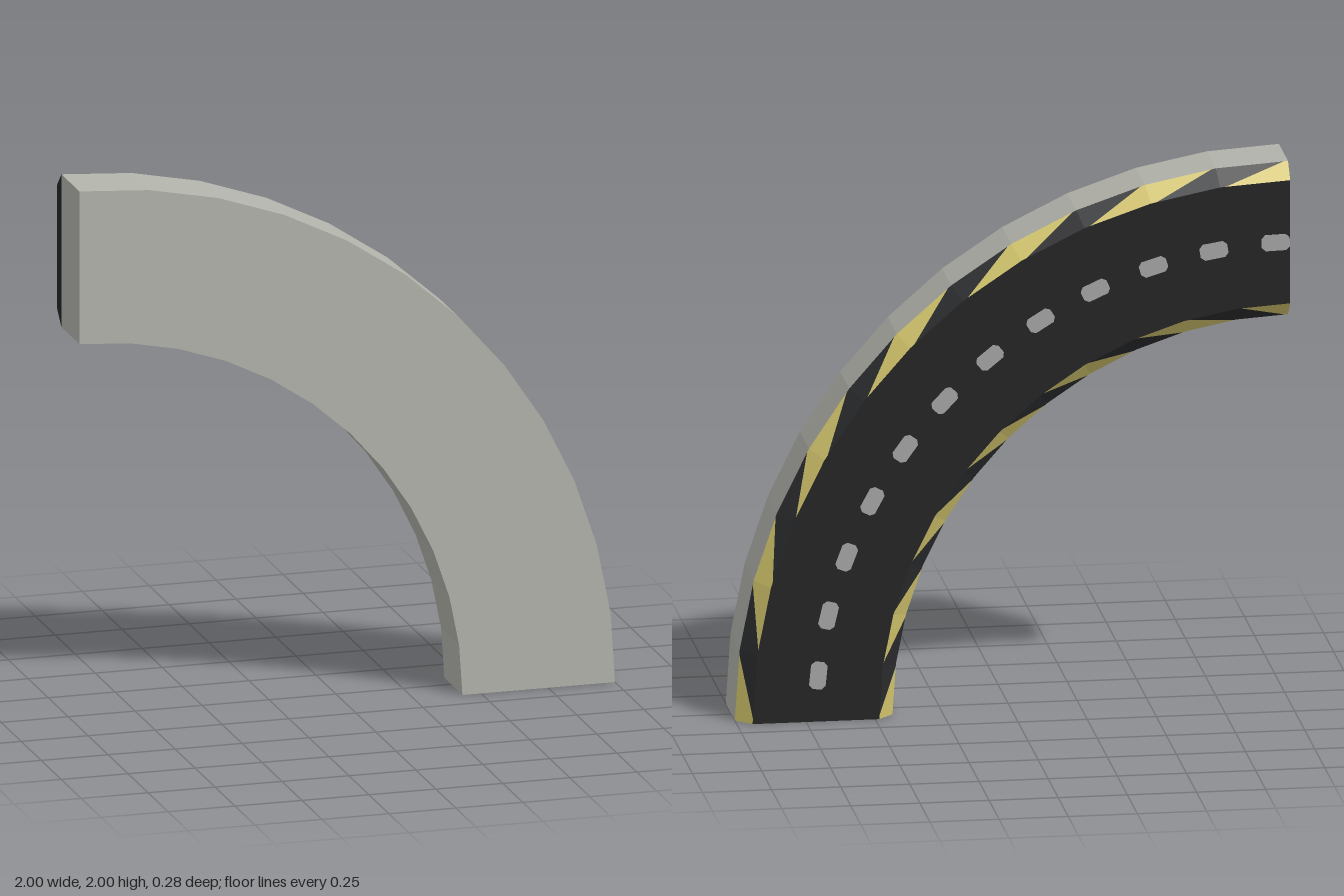
import * as THREE from 'three';

const SEGMENTS = 12;
const STEP = Math.PI / 2 / SEGMENTS;
const OUTER = 2, INNER = 1.43, BEVEL = 0.056;
const FRONT_Z = 0.141, RIM_Z = -0.085, ROAD_Z = -0.141;
const ROAD_OUT = OUTER - BEVEL, ROAD_IN = INNER + BEVEL;

const material = (name, color, opts = {}) => {
  const m = new THREE.MeshStandardMaterial({ color, ...opts });
  m.name = name;
  return m;
};

// Point on the faceted arc; s counts segments from the upright end
function arcPoint(s, radius, z) {
  const k = Math.min(Math.floor(s), SEGMENTS - 1);
  const at = (i) => new THREE.Vector3(-1 + radius * Math.sin(i * STEP), radius * Math.cos(i * STEP), z);
  return at(k).lerp(at(k + 1), s - k);
}

// Mesh made of separate flat four-sided faces
function quadMesh(name, quads, mat) {
  const positions = [];
  for (const [a, b, c, d] of quads) {
    for (const p of [a, b, c, a, c, d]) positions.push(p.x, p.y, p.z);
  }
  const geometry = new THREE.BufferGeometry();
  geometry.setAttribute('position', new THREE.Float32BufferAttribute(positions, 3));
  geometry.computeVertexNormals();
  const mesh = new THREE.Mesh(geometry, mat);
  mesh.name = name;
  return mesh;
}

export function createModel() {
  const group = new THREE.Group();
  group.name = 'curvedRoadPiece';
  const concrete = material('concrete grey', 0xb2b3ab);
  const asphalt = material('asphalt black', 0x242424);
  const yellow = material('hazard yellow', 0xd2c46c);
  const black = material('hazard black', 0x2a2b2d);
  const paint = material('dash grey', 0xa6a6a6);

  // Concrete slab: quarter ring with flat facets
  const outline = [];
  for (let i = 0; i <= SEGMENTS; i++) outline.push(arcPoint(i, OUTER, 0));
  for (let i = SEGMENTS; i >= 0; i--) outline.push(arcPoint(i, INNER, 0));
  const slabShape = new THREE.Shape(outline.map((p) => new THREE.Vector2(p.x, p.y)));
  const slabGeometry = new THREE.ExtrudeGeometry(slabShape, { depth: FRONT_Z - RIM_Z, bevelEnabled: false });
  slabGeometry.translate(0, 0, RIM_Z);
  const slab = new THREE.Mesh(slabGeometry, concrete);
  slab.name = 'concreteSlab';
  group.add(slab);

  // Road surface and the black ends of the raised layer
  const roadQuads = [];
  for (let i = 0; i < SEGMENTS; i++) {
    roadQuads.push([
      arcPoint(i, ROAD_IN, ROAD_Z), arcPoint(i, ROAD_OUT, ROAD_Z),
      arcPoint(i + 1, ROAD_OUT, ROAD_Z), arcPoint(i + 1, ROAD_IN, ROAD_Z),
    ]);
  }
  const endCap = (s) => [
    arcPoint(s, OUTER, RIM_Z), arcPoint(s, ROAD_OUT, ROAD_Z),
    arcPoint(s, ROAD_IN, ROAD_Z), arcPoint(s, INNER, RIM_Z),
  ];
  group.add(quadMesh('roadSurface', roadQuads, asphalt));
  group.add(quadMesh('roadEnds', [endCap(0), endCap(SEGMENTS).reverse()], asphalt));

  // Bevelled kerbs: one slanted colour change inside every segment
  const RIM_CUT = 0.06, ROAD_CUT = 0.92;
  const addKerb = (name, isOuter) => {
    const low = isOuter ? [ROAD_OUT, ROAD_Z, ROAD_CUT] : [INNER, RIM_Z, RIM_CUT];
    const high = isOuter ? [OUTER, RIM_Z, RIM_CUT] : [ROAD_IN, ROAD_Z, ROAD_CUT];
    const stripes = [[], []];
    for (let i = 0; i < SEGMENTS; i++) {
      const end = i + 1 - 1e-6;
      const lowAt = (s) => arcPoint(s, low[0], low[1]);
      const highAt = (s) => arcPoint(s, high[0], high[1]);
      const lowCut = i + low[2], highCut = i + high[2];
      stripes[i % 2].push([lowAt(i), highAt(i), highAt(highCut), lowAt(lowCut)]);
      stripes[(i + 1) % 2].push([lowAt(lowCut), highAt(highCut), highAt(end), lowAt(end)]);
    }
    group.add(quadMesh(name + 'YellowStripes', stripes[0], yellow));
    group.add(quadMesh(name + 'BlackStripes', stripes[1], black));
  };
  addKerb('outerKerb', true);
  addKerb('innerKerb', false);

  // Centre line dashes with clipped corners
  const L = 0.051, W = 0.03, C = 0.014;
  const dashShape = new THREE.Shape([
    [L, W - C], [L - C, W], [C - L, W], [-L, W - C],
    [-L, C - W], [C - L, -W], [L - C, -W], [L, C - W],
  ].map(([x, y]) => new THREE.Vector2(x, y)));
  const dashGeometry = new THREE.ExtrudeGeometry(dashShape, { depth: 0.003, bevelEnabled: false });
  const middle = (ROAD_OUT + ROAD_IN) / 2;
  for (let i = 0; i < SEGMENTS; i++) {
    const angle = (i + 0.235) * STEP;
    const dash = new THREE.Mesh(dashGeometry, paint);
    dash.name = 'centreDash';
    dash.position.set(-1 + middle * Math.sin(angle), middle * Math.cos(angle), ROAD_Z - 0.002);
    dash.rotation.z = -angle;
    group.add(dash);
  }
  return group;
}
